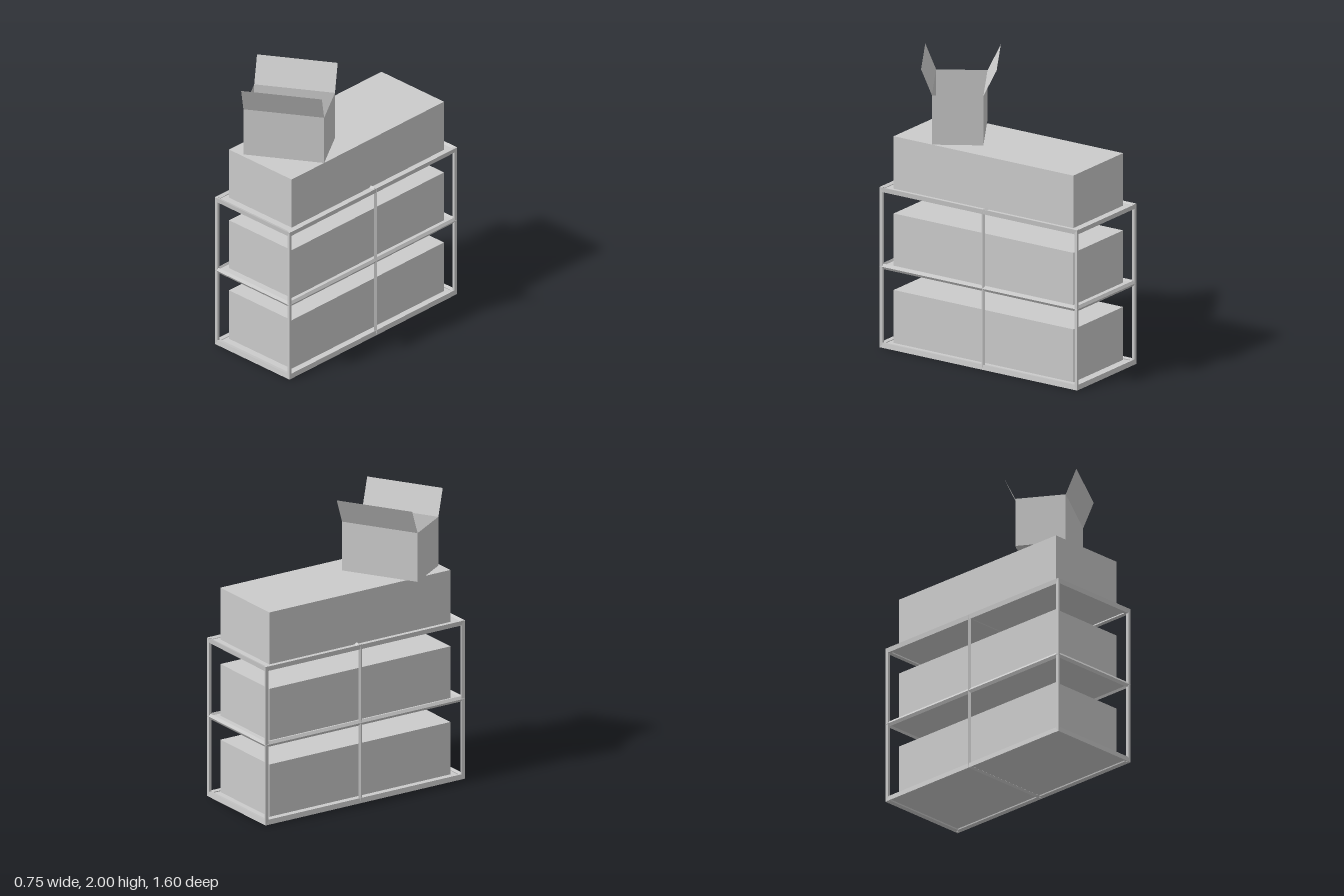
import * as THREE from 'three';

const material = new THREE.MeshStandardMaterial({ color: 0xcccccc, flatShading: true, side: THREE.DoubleSide });
const HALF_X = 0.345, HALF_Z = 0.8, HEIGHT = 1.12, MID_Z = -0.033;

function add(parent, name, geometry, x = 0, y = 0, z = 0) {
  const mesh = new THREE.Mesh(geometry, material);
  mesh.name = name;
  mesh.position.set(x, y, z);
  parent.add(mesh);
  return mesh;
}

// Flat panels, each given as four corners in counter-clockwise order
function quads(list) {
  const points = list.flatMap(([a, b, c, d]) => [a, b, c, a, c, d]);
  const geometry = new THREE.BufferGeometry();
  geometry.setAttribute('position', new THREE.Float32BufferAttribute(points.flat(), 3));
  geometry.computeVertexNormals();
  return geometry;
}

// Mitred rectangular rail; profile points are [inset, height], running upwards on the outside
function railRing(profile) {
  const corners = [[1, 1], [1, -1], [-1, -1], [-1, 1]];
  const point = (p, k) => {
    const [sx, sz] = corners[k % 4];
    return [sx * (HALF_X - p[0]), p[1], sz * (HALF_Z - p[0])];
  };
  const faces = [];
  profile.forEach((p, i) => {
    const q = profile[(i + 1) % profile.length];
    for (let k = 0; k < 4; k++) faces.push([point(p, k), point(p, k + 1), point(q, k + 1), point(q, k)]);
  });
  return quads(faces);
}

function prism(points, depth) {
  const shape = new THREE.Shape(points.map(([x, y]) => new THREE.Vector2(x, y)));
  return new THREE.ExtrudeGeometry(shape, { depth, bevelEnabled: false });
}

function createRack() {
  const rack = new THREE.Group();
  rack.name = 'rack';

  // Rails with kite-shaped sections around each level
  add(rack, 'bottomRail', railRing([[0.024, 0.008], [0, 0], [0.004, 0.035], [0.03, 0.03]]));
  add(rack, 'middleRail', railRing([[0.012, 0.547], [0, 0.566], [0.012, 0.585], [0.024, 0.566]]));
  add(rack, 'topRail', railRing([[0.004, 1.087], [0, HEIGHT], [0.024, 1.112], [0.03, 1.09]]));

  // Corner posts
  for (const sx of [-1, 1]) for (const sz of [-1, 1]) {
    const kite = [[0, 0], [0.02, 0.003], [0.022, 0.022], [0.003, 0.024]]
      .map(([a, b]) => [sx * (HALF_X - a), sz * (HALF_Z - b)]);
    add(rack, 'cornerPost', prism(kite, HEIGHT)).rotation.x = -Math.PI / 2;
  }

  // Diamond posts halfway along both long sides
  for (const sx of [-1, 1]) {
    const diamond = [[0, 0], [0.012, 0.014], [0.024, 0], [0.012, -0.014]]
      .map(([a, b]) => [sx * (HALF_X - a), b - MID_Z]);
    add(rack, 'middlePost', prism(diamond, HEIGHT)).rotation.x = -Math.PI / 2;
  }

  // Diamond crossbars under the floor and on the top
  for (const y of [0.012, HEIGHT - 0.012]) {
    const bar = prism([[-0.015, 0], [0, -0.012], [0.015, 0], [0, 0.012]], 2 * HALF_X - 0.004);
    add(rack, 'crossbar', bar, -HALF_X + 0.002, y, MID_Z).rotation.y = Math.PI / 2;
  }

  // Shelf boards
  for (const y of [0.02, 0.566, 1.104]) {
    add(rack, 'shelfBoard', new THREE.BoxGeometry(2 * HALF_X - 0.03, 0.008, 2 * HALF_Z - 0.03), 0, y, 0);
  }
  return rack;
}

function createOpenCarton() {
  const carton = new THREE.Group();
  carton.name = 'openCarton';
  const w = 0.274, d = 0.171, h = 0.345, floor = 0.004;
  const ring = [[w, d], [w, -d], [-w, -d], [-w, d]];

  // Four walls and a floor
  const walls = ring.map(([x, z], k) => {
    const [x2, z2] = ring[(k + 1) % 4];
    return [[x, 0, z], [x2, 0, z2], [x2, h, z2], [x, h, z]];
  });
  add(carton, 'cartonWalls', quads(walls));
  add(carton, 'cartonFloor', quads([[[-w, floor, d], [w, floor, d], [w, floor, -d], [-w, floor, -d]]]));

  // Raised flaps leaning outwards from the long edges
  const top = 0.525;
  add(carton, 'frontFlap', quads([[[-w, h, d], [w, h, d], [w, top, d + 0.072], [-w, top, d + 0.072]]]));
  add(carton, 'backFlap', quads([[[w, h, -d], [-w, h, -d], [-w, top, -d - 0.088], [w, top, -d - 0.088]]]));
  return carton;
}

export function createModel() {
  const model = new THREE.Group();
  model.name = 'loadedStorageRack';

  const rack = createRack();
  rack.position.x = 0.025;
  model.add(rack);

  // Long closed boxes, one on each level
  for (const top of [0.4, 0.935, 1.475]) {
    const height = top === 1.475 ? 0.367 : 0.37;
    add(model, 'storageBox', new THREE.BoxGeometry(0.578, height, 1.453), 0.026, top - height / 2, -0.004);
  }

  const carton = createOpenCarton();
  carton.position.set(-0.0075, 1.475, 0.413);
  carton.rotation.y = 0.558;
  model.add(carton);
  return model;
}
